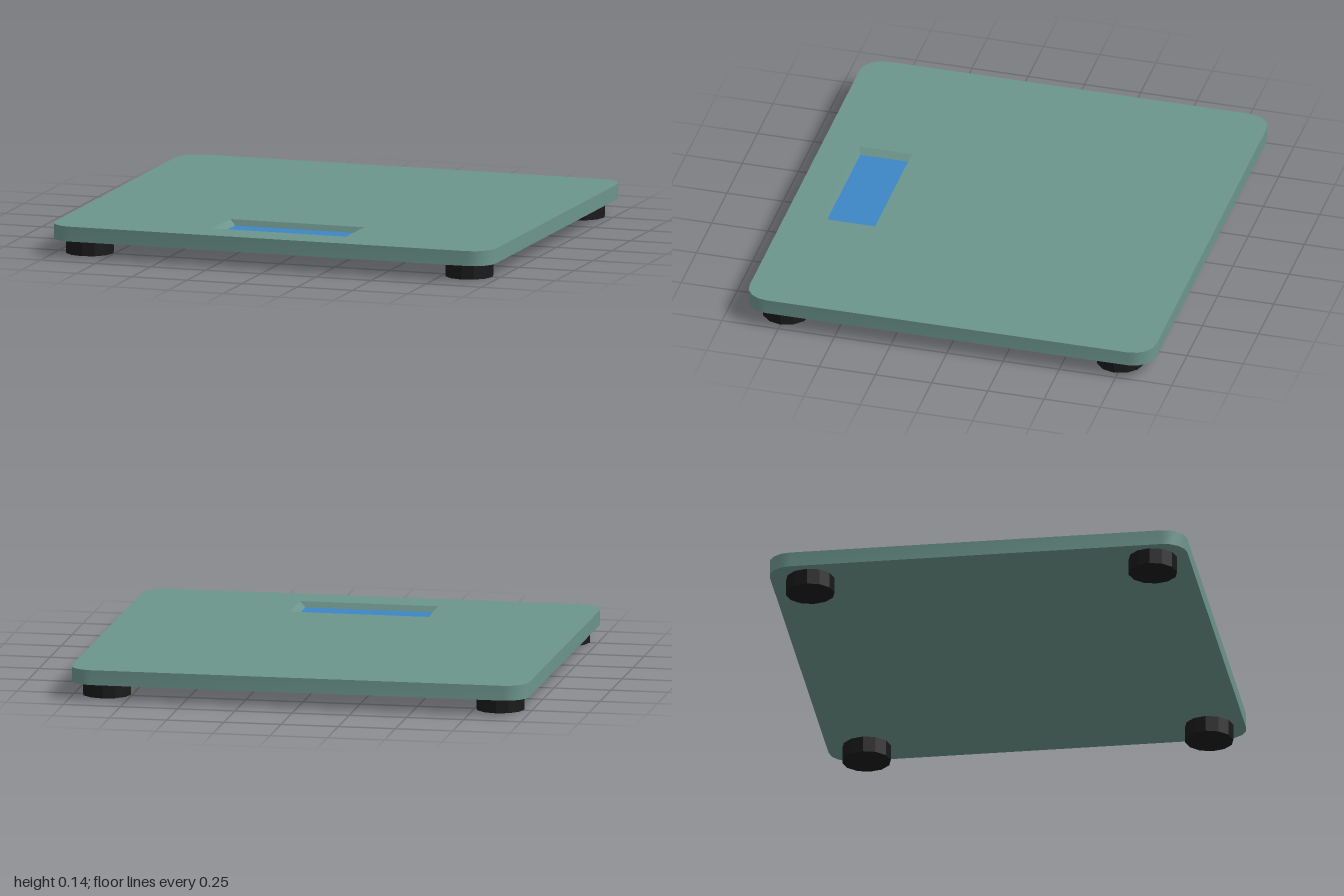
import * as THREE from 'three';
import { toCreasedNormals } from 'three/addons/utils/BufferGeometryUtils.js';

const TOP = 0.135, BOTTOM = 0.07, FLOOR = 0.11;

// Counter-clockwise rectangle outline (seen from above, y of the outline = -z)
function rectangle(x0, x1, z0, z1) {
  return [[x0, -z1], [x1, -z1], [x1, -z0], [x0, -z0]].map(([x, y]) => new THREE.Vector2(x, y));
}

function roundedRectangle(halfX, halfZ, radius, steps) {
  const points = [];
  [[1, 1], [-1, 1], [-1, -1], [1, -1]].forEach(([sx, sy], corner) => {
    for (let i = 0; i <= steps; i++) {
      const a = (corner + i / steps) * Math.PI / 2;
      points.push(new THREE.Vector2(
        sx * (halfX - radius) + radius * Math.cos(a),
        sy * (halfZ - radius) + radius * Math.sin(a)));
    }
  });
  return points;
}

// Flat horizontal face at height y
function sheet(outline, y, hole, down = false) {
  const shape = new THREE.Shape(outline);
  if (hole) shape.holes.push(new THREE.Path(hole));
  const geometry = new THREE.ShapeGeometry(shape).rotateX(-Math.PI / 2).translate(0, y, 0);
  if (down) {
    const index = geometry.index.array;
    for (let i = 0; i < index.length; i += 3) [index[i], index[i + 1]] = [index[i + 1], index[i]];
    geometry.computeVertexNormals();
  }
  return geometry;
}

// Closed strip of quads between two outlines
function band(lower, y0, upper, y1, inward = false) {
  const positions = [];
  const put = (p, y) => positions.push(p.x, y, -p.y);
  for (let i = 0; i < lower.length; i++) {
    const j = (i + 1) % lower.length;
    const [a, b] = inward ? [j, i] : [i, j];
    put(lower[a], y0); put(lower[b], y0); put(upper[b], y1);
    put(lower[a], y0); put(upper[b], y1); put(upper[a], y1);
  }
  const geometry = new THREE.BufferGeometry();
  geometry.setAttribute('position', new THREE.Float32BufferAttribute(positions, 3));
  geometry.computeVertexNormals();
  return toCreasedNormals(geometry, 0.7);
}

export function createModel() {
  const model = new THREE.Group();
  const green = new THREE.MeshStandardMaterial({ name: 'sage green', color: 0x6c958c });
  const blue = new THREE.MeshStandardMaterial({ name: 'display blue', color: 0x3d85c6 });
  const black = new THREE.MeshStandardMaterial({ name: 'rubber black', color: 0x1a1a1a, flatShading: true });

  const add = (name, geometry, material) => {
    const mesh = new THREE.Mesh(geometry, material);
    mesh.name = name;
    model.add(mesh);
    return mesh;
  };

  // Platform with a sunken window
  const edge = roundedRectangle(1, 0.905, 0.1, 4);
  const rim = rectangle(-0.305, 0.3, 0.51, 0.745);
  const floor = rectangle(-0.28, 0.275, 0.52, 0.733);
  add('platformTop', sheet(edge, TOP, rim), green);
  add('platformSide', band(edge, BOTTOM, edge, TOP), green);
  add('platformUnderside', sheet(edge, BOTTOM, null, true), green);
  add('displayRecess', band(floor, FLOOR, rim, TOP, true), green);
  add('display', sheet(floor, FLOOR), blue);

  // Four rubber feet
  const foot = new THREE.CylinderGeometry(0.105, 0.105, BOTTOM, 12);
  for (const x of [-0.86, 0.86]) {
    for (const z of [0.75, -0.735]) {
      add('foot', foot, black).position.set(x, BOTTOM / 2, z);
    }
  }
  return model;
}
